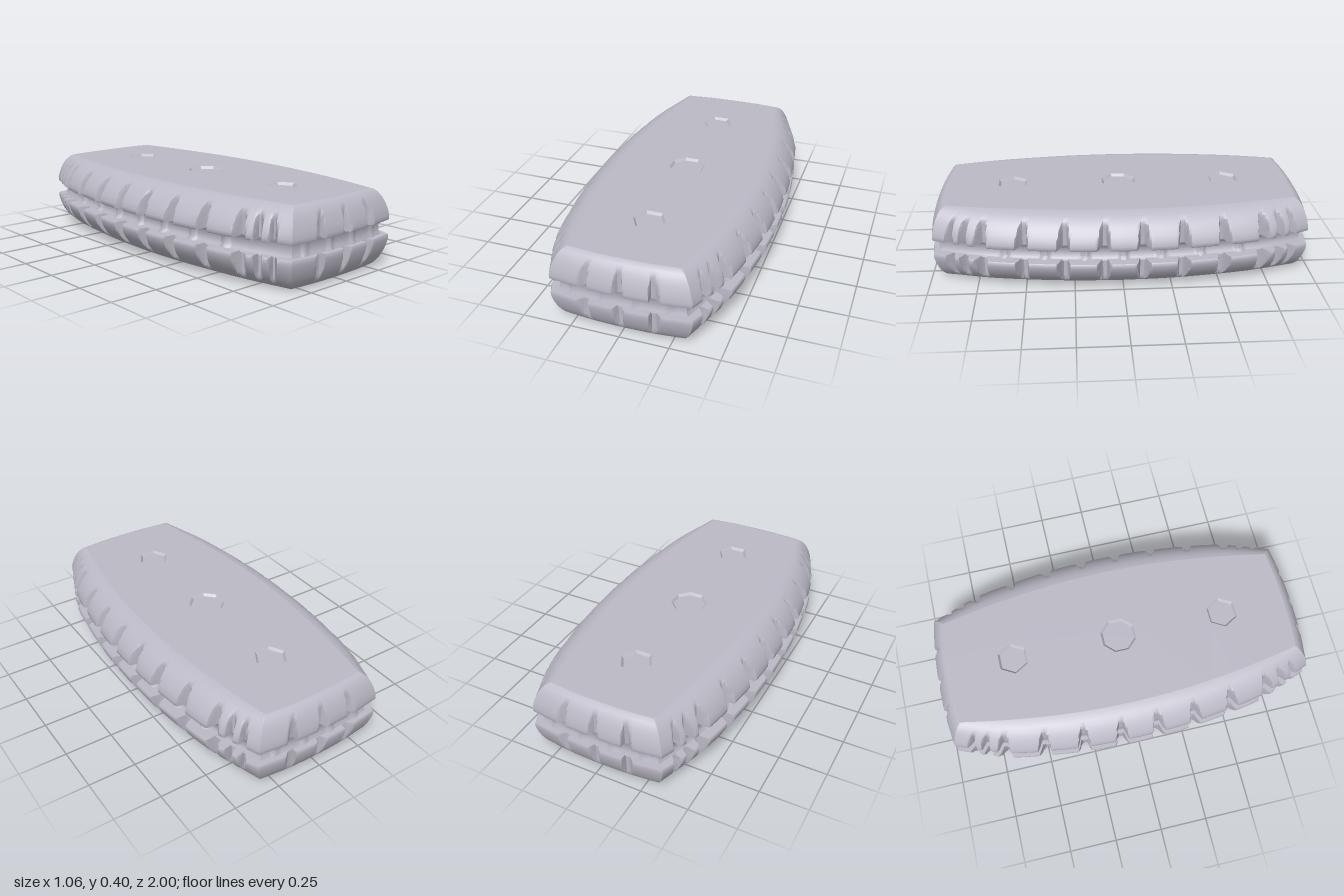
import * as THREE from 'three';
import { toCreasedNormals } from 'three/addons/utils/BufferGeometryUtils.js';

const HEIGHT = 0.397;
const V = (x, y) => new THREE.Vector2(x, y);
const curve = (...pts) => new THREE.SplineCurve(pts.map(p => V(...p)));

// Quarter outlines in (x, z): the widest rim, and the edge of the flat face
const rimSide = curve([0.532, 0], [0.524, 0.24], [0.497, 0.48], [0.453, 0.72], [0.355, 0.972]);
const faceSide = curve([0.38, 0], [0.373, 0.225], [0.353, 0.45], [0.322, 0.675], [0.28, 0.905]);
const rimEnd = curve([0.355, 0.972], [0.18, 0.993], [0, 1]);
const faceEnd = curve([0.28, 0.905], [0.14, 0.917], [0, 0.92]);

// Notches as [position, half width]: along z on the sides, along x on the ends
const sideNotches = [[0.1, 0.036], [0.305, 0.036], [0.515, 0.036], [0.725, 0.036], [0.815, 0.024], [0.885, 0.02]];
const endNotches = [[0, 0.03], [0.18, 0.03]];
const sidePosts = [[0, 0.03], [0.2, 0.03], [0.41, 0.03], [0.62, 0.03]];
const endPosts = [[0.09, 0.028], [0.27, 0.028]];

function bump(v, list) {
  return Math.max(...list.map(([c, w]) => 1 - THREE.MathUtils.smoothstep(Math.abs(v - c), w * 0.3, w)));
}

// One quarter of samples, mirrored into a closed loop
function makeLoop() {
  const quarter = [];
  const sample = (rim, face, n, axis, notches, posts) => {
    for (let i = 0; i < n; i++) {
      const o = rim.getPoint(i / n), f = face.getPoint(i / n);
      quarter.push({ o, f, notch: bump(o[axis], notches), post: bump(o[axis], posts) });
    }
  };
  sample(rimSide, faceSide, 110, 'y', sideNotches, sidePosts);
  sample(rimEnd, faceEnd, 40, 'x', endNotches, endPosts);
  const last = { o: rimEnd.getPoint(1), f: faceEnd.getPoint(1), notch: 1, post: 0 };
  const flip = (s, sx, sz) => ({ ...s, o: V(s.o.x * sx, s.o.y * sz), f: V(s.f.x * sx, s.f.y * sz) });
  const half = [...quarter, last, ...quarter.slice(1).reverse().map(s => flip(s, -1, 1))];
  return [...half, ...half.map(s => flip(s, -1, -1))];
}

// Skin between rings; each ring is a height and a rule giving its inset at a sample
function loft(loop, rings) {
  const pos = [], idx = [], n = loop.length;
  for (const { y, inset } of rings) {
    for (const s of loop) {
      const p = s.o.clone().lerp(s.f, inset(s));
      pos.push(p.x, y, p.y);
    }
  }
  for (let r = 0; r < rings.length - 1; r++) {
    for (let j = 0; j < n; j++) {
      const a = r * n + j, b = r * n + (j + 1) % n;
      idx.push(a, a + n, b, b, a + n, b + n);
    }
  }
  const g = new THREE.BufferGeometry();
  g.setAttribute('position', new THREE.Float32BufferAttribute(pos, 3));
  g.setIndex(idx);
  return toCreasedNormals(g, 0.8);
}

export function createModel() {
  const group = new THREE.Group();
  const grey = new THREE.MeshStandardMaterial({ color: 0xbcbac6 });
  grey.name = 'pale grey';
  const add = (name, geometry) => {
    const m = new THREE.Mesh(geometry, grey);
    m.name = name;
    group.add(m);
    return m;
  };
  const loop = makeLoop();

  // Rounded, notched wafers: [inset, height] from the inner lip to the flat face
  const profile = [
    [0.6, 0.236], [0.03, 0.235], [0, 0.241], [0, 0.258], [0.07, 0.285], [0.16, 0.309], [0.28, 0.333],
    [0.4, 0.352], [0.53, 0.368], [0.68, 0.382], [0.84, 0.392], [1, HEIGHT],
  ];
  const upper = profile.map(([k, y]) => ({ y, inset: s => Math.max(k, 0.48 * s.notch) }));
  const lower = upper.map(r => ({ y: HEIGHT - r.y, inset: r.inset })).reverse();
  add('upperWafer', loft(loop, upper));
  add('lowerWafer', loft(loop, lower));

  // Filling with small posts behind the middle of each tooth
  const fill = [[0.155, -0.1], [0.168, -0.06], [0.178, 0], [0.219, 0], [0.229, -0.06], [0.242, -0.1]];
  add('filling', loft(loop, fill.map(([y, d]) => ({ y, inset: s => 0.5 - 0.1 * s.post + d }))));

  // Flat faces; the top one has three shallow polygonal dimples
  const edge = loop.map(s => s.f);
  const dimples = [[0, 0.098, 8], [0.575, 0.086, 6], [-0.575, 0.086, 6]];
  const topShape = new THREE.Shape(edge);
  for (const [z, r, n] of dimples) {
    const start = n === 8 ? Math.PI / 8 : 0;
    const ring = Array.from({ length: n }, (_, i) => {
      const a = start + i / n * Math.PI * 2;
      return V(r * Math.cos(a), r * Math.sin(a) - z);
    });
    topShape.holes.push(new THREE.Path(ring));
    const bowl = new THREE.LatheGeometry(
      [V(r, 0), V(r - 0.012, -0.014), V(0, -0.014)], n, Math.PI / (n === 8 ? 8 : 6));
    add('dimple', toCreasedNormals(bowl, 0.4)).position.set(0, HEIGHT, z);
  }
  add('topFace', new THREE.ShapeGeometry(topShape).rotateX(-Math.PI / 2).translate(0, HEIGHT, 0));
  add('bottomFace', new THREE.ShapeGeometry(new THREE.Shape(edge)).rotateX(Math.PI / 2));
  return group;
}
